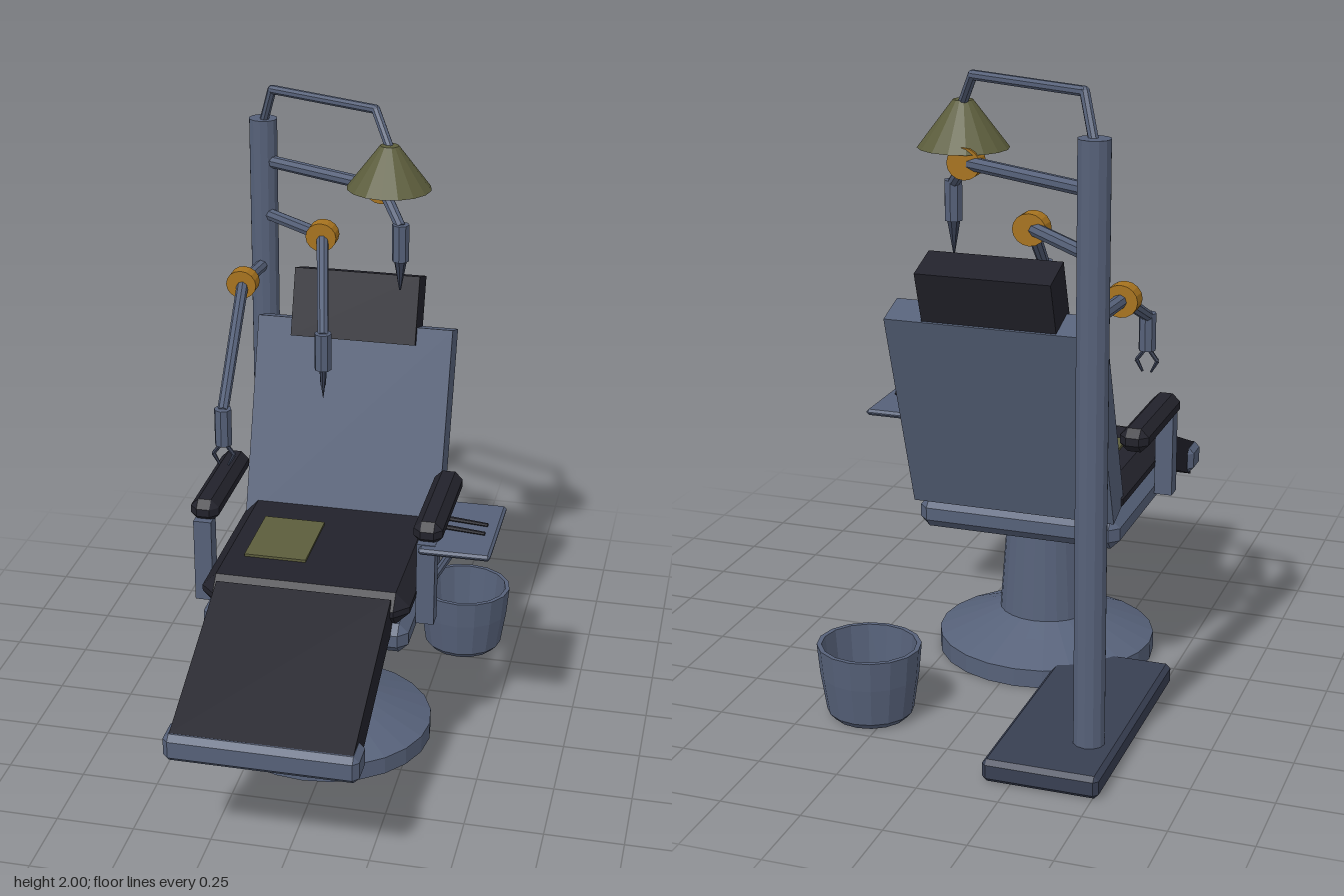
import * as THREE from 'three';
import { ConvexGeometry } from 'three/addons/geometries/ConvexGeometry.js';

const paint = (name, color) => {
  const m = new THREE.MeshStandardMaterial({ color, flatShading: true });
  m.name = name;
  return m;
};

export function createModel() {
  const model = new THREE.Group();
  model.name = 'mechanicalChair';
  const steel = paint('blueSteel', 0x566179);
  const darkSteel = paint('darkSteel', 0x383f52);
  const leather = paint('blackLeather', 0x22222b);
  const olive = paint('olive', 0x5c5d3c);
  const brass = paint('brass', 0xa8741f);
  const V = (x, y, z) => new THREE.Vector3(x, y, z);
  const WIDE = 1.07; // round parts are slightly wider in x
  const CX = -0.048; // chair centre line

  const add = (name, geo, mat, x = 0, y = 0, z = 0, parent = model) => {
    const m = new THREE.Mesh(geo, mat);
    m.name = name;
    m.position.set(x, y, z);
    parent.add(m);
    return m;
  };

  // box with every edge cut by c
  const chamferBox = (w, h, d, c) => {
    const pts = [];
    for (const i of [-1, 1]) for (const j of [-1, 1]) for (const k of [-1, 1]) {
      const [x, y, z] = [i * w / 2, j * h / 2, k * d / 2];
      pts.push(V(x, y - j * c, z - k * c), V(x - i * c, y, z - k * c), V(x - i * c, y - j * c, z));
    }
    return new ConvexGeometry(pts);
  };

  // straight rod between two points
  const rod = (name, a, b, r0, r1, mat, sides = 8, parent = model) => {
    const dir = b.clone().sub(a);
    const m = add(name, new THREE.CylinderGeometry(r1, r0, dir.length(), sides), mat, 0, 0, 0, parent);
    m.position.copy(a).addScaledVector(dir, 0.5);
    m.quaternion.setFromUnitVectors(V(0, 1, 0), dir.normalize());
    return m;
  };
  const lathe = (name, profile, sides, mat, x, z) => {
    const m = add(name, new THREE.LatheGeometry(profile.map(p => new THREE.Vector2(...p)), sides), mat, x, 0, z);
    m.scale.x = WIDE;
    return m;
  };

  // pedestal
  lathe('pedestal', [[0, 0], [0.332, 0], [0.332, 0.06], [0.215, 0.112], [0.143, 0.145],
    [0.118, 0.5], [0, 0.5]], 24, steel, CX, 0.047);

  // seat
  add('seatFrame', chamferBox(0.66, 0.1, 0.615, 0.03), steel, CX, 0.54, 0.047);
  add('seatCushion', chamferBox(0.665, 0.11, 0.62, 0.045), leather, CX, 0.64, 0.055);
  add('seatPanel', new THREE.BoxGeometry(0.2, 0.009, 0.27), olive, -0.178, 0.699, 0.055);

  // backrest and headrest
  const lean = -18.6 * Math.PI / 180;
  add('backrest', new THREE.BoxGeometry(0.654, 0.688, 0.114), steel, CX, 0.94, -0.346).rotation.x = lean;
  add('headrest', new THREE.BoxGeometry(0.418, 0.225, 0.128), leather, CX, 1.322, -0.46).rotation.x = lean;

  // footrest
  add('footrest', new THREE.BoxGeometry(0.556, 0.115, 0.58), leather, CX, 0.522, 0.597).rotation.x = 0.393;
  add('footBar', chamferBox(0.594, 0.09, 0.115, 0.018), steel, CX, 0.419, 0.852);

  // armrests with posts
  for (const s of [-1, 1]) {
    add('armrest', chamferBox(0.092, 0.075, 0.42, 0.025), leather, CX + s * 0.36, 0.84, -0.007);
    add('armPost', new THREE.BoxGeometry(0.058, 0.28, 0.056), steel, CX + s * 0.36, 0.675, 0.187);
  }

  // side tray with strut and tools
  add('tray', chamferBox(0.225, 0.02, 0.36, 0.008), steel, 0.404, 0.803, 0.066);
  rod('trayStrut', V(0.41, 0.8, 0.085), V(0.28, 0.56, 0.055), 0.014, 0.014, steel);
  for (const z of [0.03, 0.09])
    rod('trayTool', V(0.335, 0.822, z), V(0.48, 0.822, z + 0.022), 0.008, 0.006, leather, 6);

  // tool stand
  const PX = -0.427, PZ = -0.697;
  add('standBase', chamferBox(0.354, 0.07, 0.806, 0.014), darkSteel, -0.34, 0.035, -0.503);
  const pole = add('standPole', new THREE.CylinderGeometry(0.045, 0.045, 1.82, 12), steel, PX, 0.96, PZ);
  pole.scale.x = WIDE;

  // hanging lamp
  const bend = [V(PX, 1.85, PZ), V(-0.38, 1.985, -0.64), V(0, 1.985, -0.485), V(0.064, 1.885, -0.4)];
  for (let i = 0; i < 3; i++) rod('lampArm', bend[i], bend[i + 1], 0.015, 0.015, steel);
  for (const p of bend.slice(1, 3)) add('lampElbow', new THREE.SphereGeometry(0.015, 8, 6), steel, p.x, p.y, p.z);
  const shade = add('lampShade', new THREE.CylinderGeometry(0.028, 0.128, 0.14, 16), olive, 0.064, 1.827, -0.395);
  shade.scale.x = WIDE;

  // jointed tool arms: shoulder height, joint, wrist, tool
  const arms = [
    { y: 1.725, joint: V(0.025, 1.73, -0.477), wrist: V(0.11, 1.64, -0.36), tool: 'drill' },
    { y: 1.54, joint: V(-0.174, 1.552, -0.477), wrist: V(-0.087, 1.35, -0.105), tool: 'needle' },
    { y: 1.36, joint: V(-0.448, 1.365, -0.477), wrist: V(-0.363, 1.152, 0.1), tool: 'claw' },
  ];
  for (const { y, joint, wrist, tool } of arms) {
    const arm = new THREE.Group();
    arm.name = tool + 'Arm';
    model.add(arm);
    rod('upperArm', V(PX, y, PZ), joint, 0.021, 0.021, steel, 8, arm);
    rod('forearm', joint, wrist, 0.02, 0.018, steel, 8, arm);
    const hub = add('armJoint', new THREE.CylinderGeometry(0.048, 0.048, 0.052, 16), brass, joint.x, joint.y, joint.z, arm);
    hub.rotation.x = Math.PI / 2;
    hub.scale.x = WIDE;
    const { x, z } = wrist, low = wrist.y - 0.112;
    add('toolBody', new THREE.CylinderGeometry(0.028, 0.028, 0.122, 8), steel, x, wrist.y - 0.051, z, arm);
    if (tool === 'drill') {
      rod('drillBit', V(x, low, z), V(x, low - 0.1, z), 0.021, 0.003, darkSteel, 8, arm);
    } else if (tool === 'needle') {
      rod('needleBase', V(x, low, z), V(x, low - 0.055, z), 0.012, 0.009, darkSteel, 8, arm);
      rod('needleTip', V(x, low - 0.055, z), V(x, low - 0.1, z), 0.007, 0.001, darkSteel, 6, arm);
    } else {
      for (const s of [-1, 1]) {
        const pts = [V(x + s * 0.008, low, z), V(x + s * 0.034, low - 0.035, z), V(x + s * 0.014, low - 0.072, z)];
        rod('clawFinger', pts[0], pts[1], 0.007, 0.007, darkSteel, 6, arm);
        rod('clawTip', pts[1], pts[2], 0.007, 0.004, darkSteel, 6, arm);
      }
    }
  }

  // bucket
  lathe('bucket', [[0, 0], [0.11, 0], [0.127, 0.02], [0.144, 0.14], [0.152, 0.235],
    [0.138, 0.235], [0.12, 0.04], [0, 0.04]], 16, steel, 0.31, -0.602);

  return model;
}
